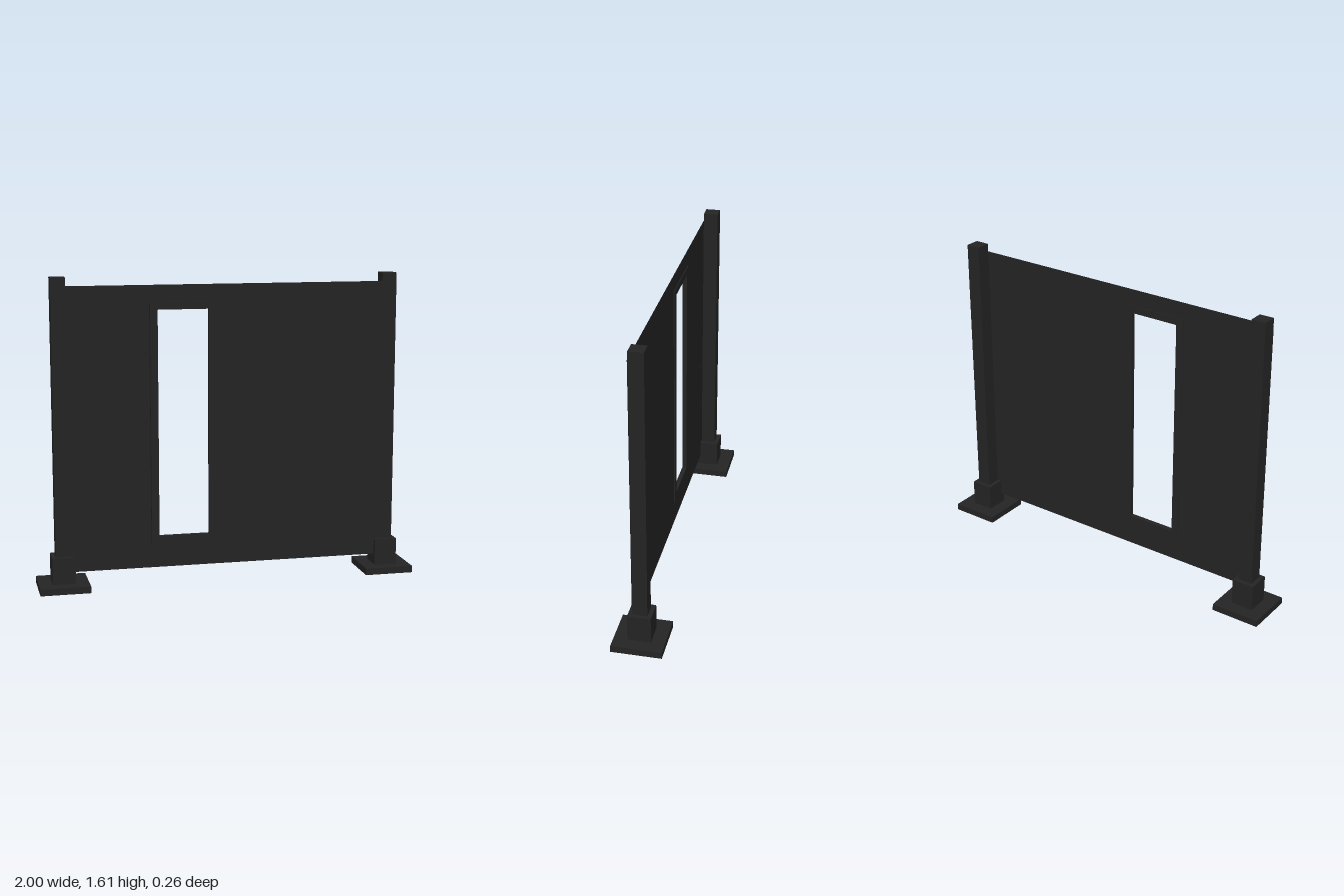
import * as THREE from 'three';

export function createModel() {
  const model = new THREE.Group();
  model.name = 'screenPanel';
  const black = new THREE.MeshStandardMaterial({ color: 0x242424 });
  black.name = 'charcoal';
  black.side = THREE.DoubleSide;

  const box = (parent, name, w, h, d, x, y, z) => {
    const mesh = new THREE.Mesh(new THREE.BoxGeometry(w, h, d), black);
    mesh.name = name;
    mesh.position.set(x, y, z);
    parent.add(mesh);
    return mesh;
  };

  // Rectangle outline given by its edges
  const rect = (Type, x0, x1, y0, y1) => {
    const r = new Type();
    r.moveTo(x0, y0);
    r.lineTo(x1, y0);
    r.lineTo(x1, y1);
    r.lineTo(x0, y1);
    r.closePath();
    return r;
  };
  const opening = () => rect(THREE.Path, -0.37, -0.105, 0.262, 1.442);

  // Posts with their foot plates, sockets and sheet ties
  for (const side of [1, -1]) {
    const stand = new THREE.Group();
    stand.name = side > 0 ? 'leftStand' : 'rightStand';
    model.add(stand);
    const x = side * 0.87;
    box(stand, 'footPlate', 0.26, 0.035, 0.26, x, 0.0175, 0);
    box(stand, 'socket', 0.12, 0.14, 0.12, x, 0.105, 0);
    box(stand, 'post', 0.076, 1.575, 0.076, x, 0.8225, 0);
    for (let i = 0; i < 6; i++) {
      box(stand, 'tie', 0.09, 0.006, 0.006, side * 0.833, 1.5 - i * 0.27, 0.042);
    }
  }

  // Thin sheet stretched across the front of the posts
  const sheetShape = rect(THREE.Shape, -0.908, 0.908, 0.092, 1.567);
  sheetShape.holes.push(opening());
  const sheet = new THREE.Mesh(new THREE.ShapeGeometry(sheetShape), black);
  sheet.name = 'sheet';
  sheet.position.z = 0.04;
  model.add(sheet);

  // Frame around the tall window
  const frameShape = rect(THREE.Shape, -0.41, -0.063, 0.22, 1.48);
  frameShape.holes.push(opening());
  const frame = new THREE.Mesh(
    new THREE.ExtrudeGeometry(frameShape, { depth: 0.024, bevelEnabled: false }), black);
  frame.name = 'windowFrame';
  frame.position.z = 0.035;
  model.add(frame);

  return model;
}
